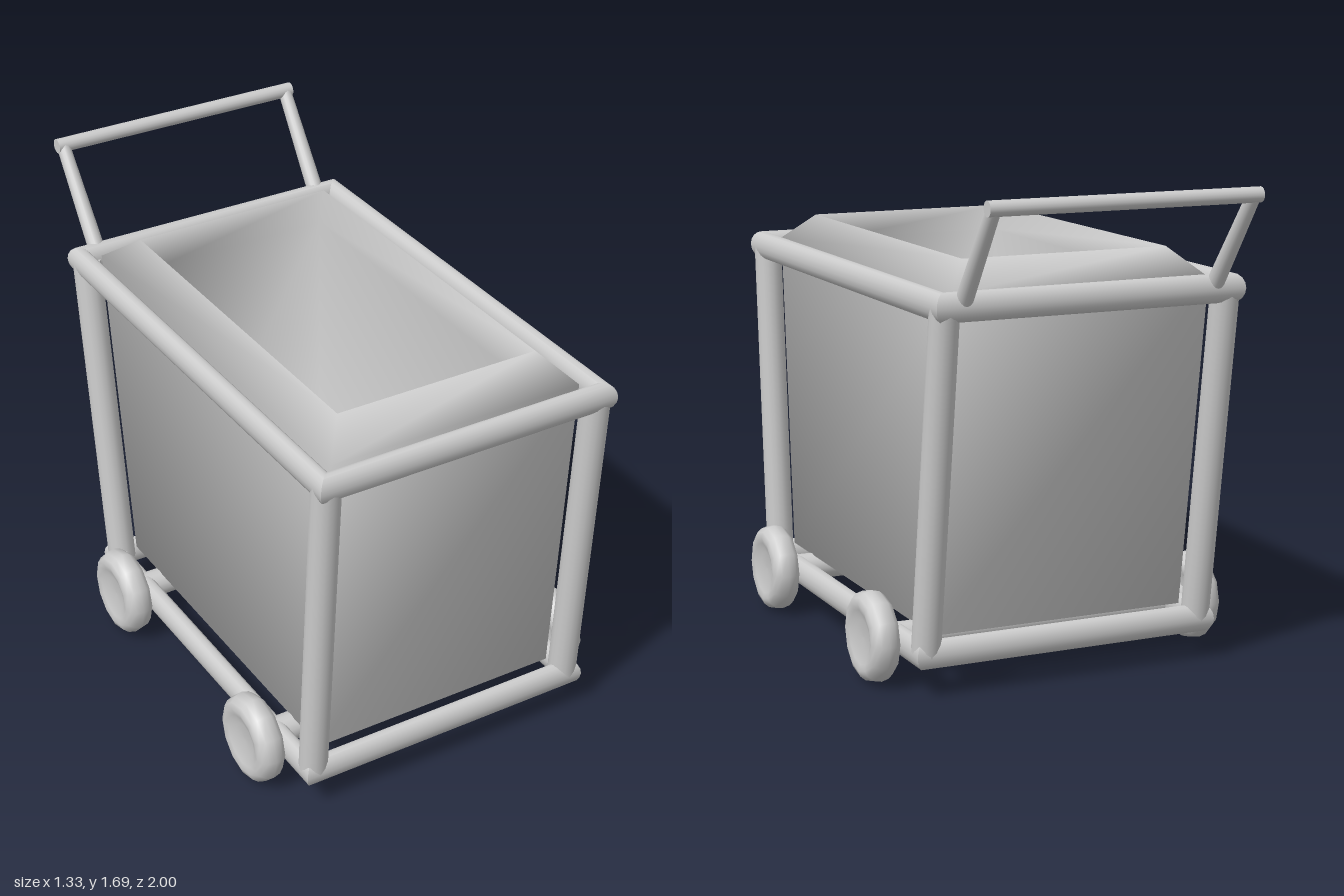
import * as THREE from 'three';
import { toCreasedNormals } from 'three/addons/utils/BufferGeometryUtils.js';

const material = new THREE.MeshStandardMaterial({ color: 0xcccccc });

function add(parent, name, geometry) {
  const mesh = new THREE.Mesh(geometry, material);
  mesh.name = name;
  parent.add(mesh);
  return mesh;
}

// Skins a stack of rectangles, each given as [halfWidth, y, zBack, zFront]
function loftRectangles(rects, capped) {
  const positions = [], index = [];
  for (const [x, y, z0, z1] of rects) {
    positions.push(x, y, z1, x, y, z0, -x, y, z0, -x, y, z1);
  }
  for (let i = 0; i < rects.length - 1; i++) {
    for (let j = 0; j < 4; j++) {
      const a = i * 4 + j, b = i * 4 + (j + 1) % 4;
      index.push(a, b, b + 4, a, b + 4, a + 4);
    }
  }
  if (capped) {
    const n = (rects.length - 1) * 4;
    index.push(0, 2, 1, 0, 3, 2, n, n + 1, n + 2, n, n + 2, n + 3);
  }
  const geometry = new THREE.BufferGeometry();
  geometry.setAttribute('position', new THREE.Float32BufferAttribute(positions, 3));
  geometry.setIndex(index);
  geometry.computeVertexNormals();
  return geometry;
}

// Rectangular frame of oval tube with mitred corners
function frameGeometry(halfWidth, y, zBack, zFront, rx = 0.035, ry = 0.05, sides = 16) {
  const rects = [];
  for (let i = 0; i <= sides; i++) {
    const t = (i / sides) * Math.PI * 2;
    const out = rx * Math.cos(t);
    rects.push([halfWidth + out, y + ry * Math.sin(t), zBack - out, zFront + out]);
  }
  return toCreasedNormals(loftRectangles(rects, false), 0.8);
}

// Round bar between two points
function addBar(parent, name, from, to, r0, r1 = r0) {
  const a = new THREE.Vector3(...from), b = new THREE.Vector3(...to);
  const dir = b.clone().sub(a);
  const bar = add(parent, name, new THREE.CylinderGeometry(r1, r0, dir.length(), 16));
  bar.position.copy(a).add(b).multiplyScalar(0.5);
  bar.quaternion.setFromUnitVectors(new THREE.Vector3(0, 1, 0), dir.normalize());
  return bar;
}

export function createModel() {
  const cart = new THREE.Group();
  cart.name = 'cart';

  // Open tub: outer wall, bevelled rim, inner lip, cavity
  add(cart, 'tub', loftRectangles([
    [0.465, 0.195, -0.51, 0.835],
    [0.47, 1.365, -0.67, 0.907],
    [0.375, 1.46, -0.545, 0.788],
    [0.315, 1.38, -0.475, 0.7],
    [0.315, 0.28, -0.475, 0.7],
  ], true));

  // Frames around the top and the base
  add(cart, 'topFrame', frameGeometry(0.525, 1.335, -0.73, 0.965));
  add(cart, 'bottomFrame', frameGeometry(0.525, 0.15, -0.56, 0.885));

  // Leaning corner posts
  for (const s of [1, -1]) {
    addBar(cart, 'frontPost', [s * 0.51, 0.15, 0.87], [s * 0.51, 1.335, 0.948], 0.05);
    addBar(cart, 'backPost', [s * 0.51, 0.15, -0.545], [s * 0.51, 1.335, -0.712], 0.05);
  }

  // Wheels with rounded tread and dished faces, on two axles
  const half = [[0, 0.032], [0.06, 0.034], [0.095, 0.046], [0.118, 0.052],
    [0.138, 0.045], [0.153, 0.027], [0.16, 0]];
  const profile = [
    ...half.map(([r, h]) => new THREE.Vector2(r, -h)),
    ...half.slice(0, -1).reverse().map(([r, h]) => new THREE.Vector2(r, h)),
  ];
  const wheelGeometry = new THREE.LatheGeometry(profile, 12);
  for (const z of [0.645, -0.325]) {
    addBar(cart, 'axle', [-0.6, 0.15, z], [0.6, 0.15, z], 0.05);
    for (const s of [1, -1]) {
      const wheel = add(cart, 'wheel', wheelGeometry);
      wheel.rotation.z = Math.PI / 2;
      wheel.position.set(s * 0.612, 0.163, z);
    }
  }

  // Push handle rising from the back of the top frame
  const handle = new THREE.Group();
  handle.name = 'handle';
  cart.add(handle);
  for (const s of [1, -1]) {
    addBar(handle, 'handleLeg', [s * 0.455, 1.335, -0.725], [s * 0.458, 1.672, -0.972], 0.03, 0.024);
  }
  addBar(handle, 'handleGrip', [-0.482, 1.671, -0.972], [0.482, 1.671, -0.972], 0.026);

  return cart;
}
